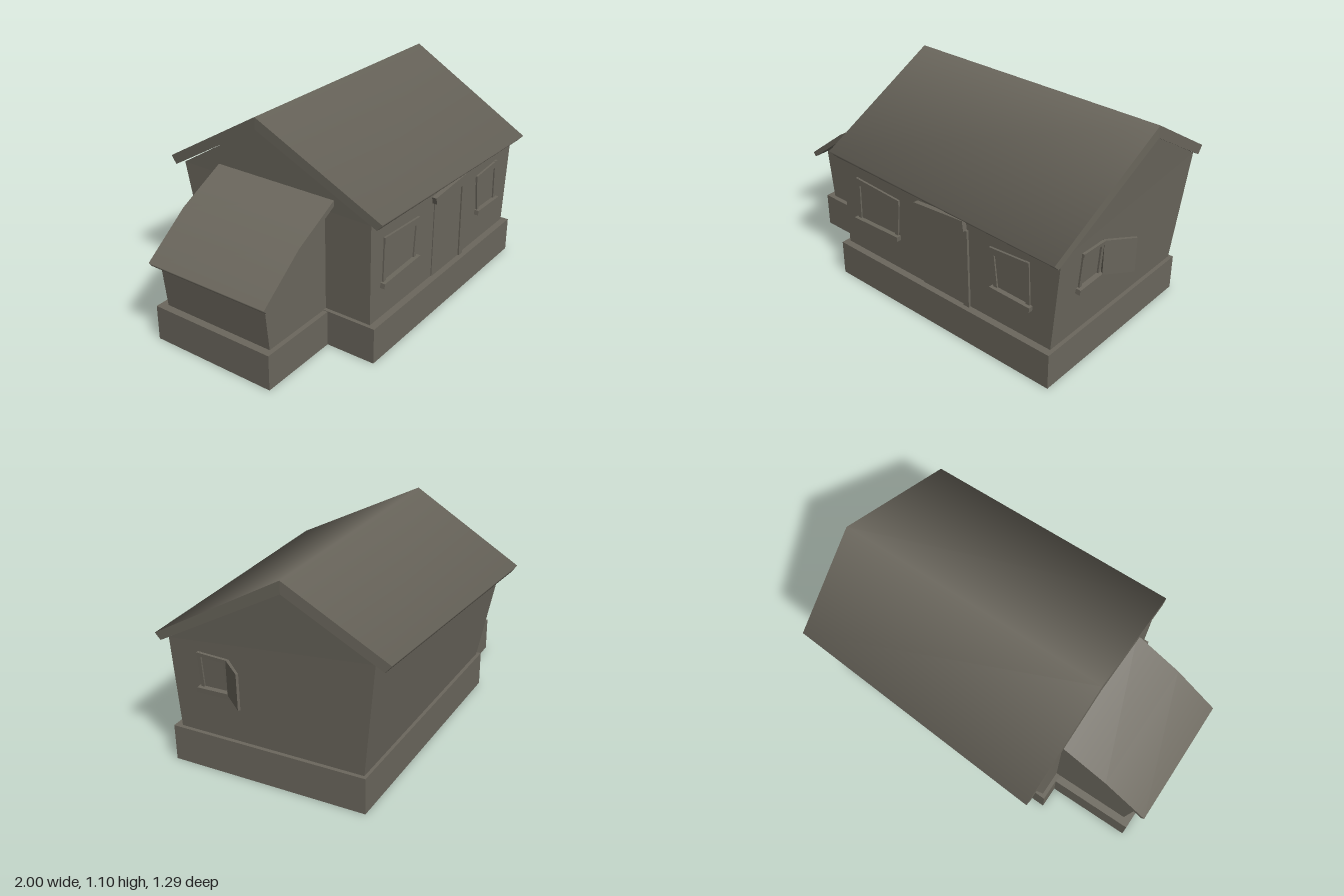
import * as THREE from 'three';

const stone = new THREE.MeshStandardMaterial({ color: 0x6b675d, side: THREE.DoubleSide });
stone.name = 'weathered grey';

const v = (p) => new THREE.Vector3(...p);

// Skins two matching loops of points. Loop a runs anticlockwise seen from outside its own end.
// round: 'equal' or 'area' blends normals around the loop, otherwise faces are flat.
function loft(parent, name, a, b, { capA = true, capB = true, round = '' } = {}) {
  const pos = [], nor = [], n = a.length;
  const A = a.map(v), B = b.map(v);
  const faceNormal = (p, q, r, s) => {
    const c = r.clone().sub(p).cross(s.clone().sub(q));
    return round === 'area' ? c : c.normalize();
  };
  const quad = (pts, normals) => [0, 1, 2, 0, 2, 3].forEach((k) => {
    pos.push(...pts[k].toArray());
    nor.push(...normals[k].toArray());
  });
  const flat = (p, q, r, s) => {
    const m = faceNormal(p, q, r, s).normalize();
    quad([p, q, r, s], [m, m, m, m]);
  };
  const normals = A.map((p, i) => faceNormal(p, B[i], B[(i + 1) % n], A[(i + 1) % n]));
  const blended = normals.map((m, i) => m.clone().add(normals[(i + n - 1) % n]).normalize());
  for (let i = 0; i < n; i++) {
    const j = (i + 1) % n, pts = [A[i], B[i], B[j], A[j]];
    if (round) quad(pts, [blended[i], blended[i], blended[j], blended[j]]);
    else flat(...pts);
  }
  // ends are filled by pairing points across the loop
  for (let i = 0; i < Math.floor((n - 1) / 2); i++) {
    const k = [i, i + 1, n - 2 - i, n - 1 - i];
    if (capA) flat(...k.map((q) => A[q]));
    if (capB) flat(...k.map((q) => B[q]).reverse());
  }
  const g = new THREE.BufferGeometry();
  g.setAttribute('position', new THREE.Float32BufferAttribute(pos, 3));
  g.setAttribute('normal', new THREE.Float32BufferAttribute(nor, 3));
  const mesh = new THREE.Mesh(g, stone);
  mesh.name = name;
  parent.add(mesh);
  return mesh;
}

// Crooked board from four [x, y] corners: bottom left, top left, top right, bottom right
const board = (parent, name, corners, z0, z1) =>
  loft(parent, name, corners.map(([x, y]) => [x, y, z0]), corners.map(([x, y]) => [x, y, z1]));

// Upright block from a plan of [x, z] corners
const block = (parent, name, plan, y0, y1, options) =>
  loft(parent, name, plan.map(([x, z]) => [x, y0, z]), plan.map(([x, z]) => [x, y1, z]), options);

// Crooked window: jambs, lintel and sill around an opening [bl, tl, tr, br]
function addWindow(parent, name, [bl, tl, tr, br], z, width, lintelHeight) {
  const w = new THREE.Group();
  w.name = name;
  const shift = (p, dx, dy) => [p[0] + dx, p[1] + dy];
  board(w, 'leftJamb', [bl, tl, shift(tl, width, 0), shift(bl, width, 0)], z - 0.01, z + 0.008);
  board(w, 'rightJamb', [shift(br, -width, 0), shift(tr, -width, 0), tr, br], z - 0.01, z + 0.008);
  board(w, 'lintel', [shift(tl, 0, -lintelHeight), tl, tr, shift(tr, 0, -lintelHeight)], z - 0.01, z + 0.011);
  board(w, 'sill', [shift(bl, -0.015, -0.022), shift(bl, -0.012, 0.004),
    shift(br, 0.012, 0.004), shift(br, 0.01, -0.022)], z - 0.01, z + 0.025);
  parent.add(w);
}

export function createModel() {
  const house = new THREE.Group();
  house.name = 'cottage';

  // Hollow footings, open underneath
  block(house, 'mainFooting', [[-0.505, -0.47], [0.88, -0.425], [0.88, 0.612], [-0.505, 0.612]], 0, 0.19, { capA: false });
  block(house, 'annexFooting', [[-0.95, -0.355], [-0.5, -0.355], [-0.5, 0.345], [-0.95, 0.345]], 0, 0.187, { capA: false });

  // Main walls with both gables, leaning out at the back and the right
  loft(house, 'mainWalls',
    [[-0.485, 0.19, 0.575], [-0.49, 0.715, 0.575], [-0.5, 1.04, -0.06], [-0.49, 0.735, -0.56], [-0.485, 0.19, -0.45]],
    [[0.86, 0.19, 0.575], [0.9, 0.685, 0.575], [0.925, 1.04, -0.06], [0.895, 0.78, -0.48], [0.86, 0.19, -0.41]]);

  // Main roof: eaves slope and spread towards the left end
  loft(house, 'mainRoof',
    [[-0.505, 0.745, 0.642], [-0.52, 1.097, -0.06], [-0.5, 0.752, -0.645],
      [-0.5, 0.71, -0.615], [-0.52, 1.035, -0.06], [-0.505, 0.71, 0.615]],
    [[0.915, 0.7, 0.642], [0.94, 1.097, -0.06], [0.9, 0.795, -0.555],
      [0.9, 0.755, -0.525], [0.94, 1.035, -0.06], [0.915, 0.668, 0.612]], { round: 'equal' });

  // Annex walls and its bent lean-to roof
  const annexSide = [[-0.91, 0.187], [-0.94, 0.465], [-0.745, 0.63], [-0.48, 0.765], [-0.48, 0.187]];
  loft(house, 'annexWalls', annexSide.map(([x, y]) => [x, y, -0.315]), annexSide.map(([x, y]) => [x, y, 0.32]));
  const annexRoof = [[-1, 0.46], [-0.752, 0.65], [-0.49, 0.785], [-0.49, 0.755], [-0.742, 0.623], [-0.985, 0.438]];
  loft(house, 'annexRoof', annexRoof.map(([x, y]) => [x, y, -0.325]),
    annexRoof.map(([x, y]) => [x, y, 0.372]), { round: 'area' });

  // Front windows
  addWindow(house, 'leftWindow', [[-0.39, 0.377], [-0.385, 0.613], [-0.08, 0.597], [-0.098, 0.387]], 0.575, 0.022, 0.035);
  addWindow(house, 'rightWindow', [[0.53, 0.382], [0.505, 0.59], [0.733, 0.605], [0.742, 0.377]], 0.575, 0.022, 0.035);

  // Front door with post and crooked lintel
  const door = new THREE.Group();
  door.name = 'door';
  board(door, 'doorPanel', [[0.07, 0.19], [0.07, 0.615], [0.345, 0.615], [0.345, 0.19]], 0.57, 0.58);
  board(door, 'doorPost', [[0.345, 0.19], [0.335, 0.615], [0.372, 0.615], [0.38, 0.19]], 0.57, 0.588);
  board(door, 'doorLintel', [[0.055, 0.61], [0.045, 0.647], [0.355, 0.67], [0.362, 0.615]], 0.57, 0.6);
  house.add(door);

  // Side window, following the lean of the right wall
  const side = new THREE.Group();
  side.name = 'sideWindowGroup';
  side.rotation.set(0.081, Math.PI / 2, 0, 'YXZ');
  side.position.x = 0.845;
  addWindow(side, 'sideWindow', [[-0.42, 0.458], [-0.42, 0.647], [-0.262, 0.64], [-0.26, 0.462]], 0, 0.018, 0.018);
  house.add(side);

  // Open shutter
  block(house, 'shutter', [[0.892, 0.258], [0.99, 0.14], [1, 0.147], [0.905, 0.265]], 0.455, 0.638);

  return house;
}
